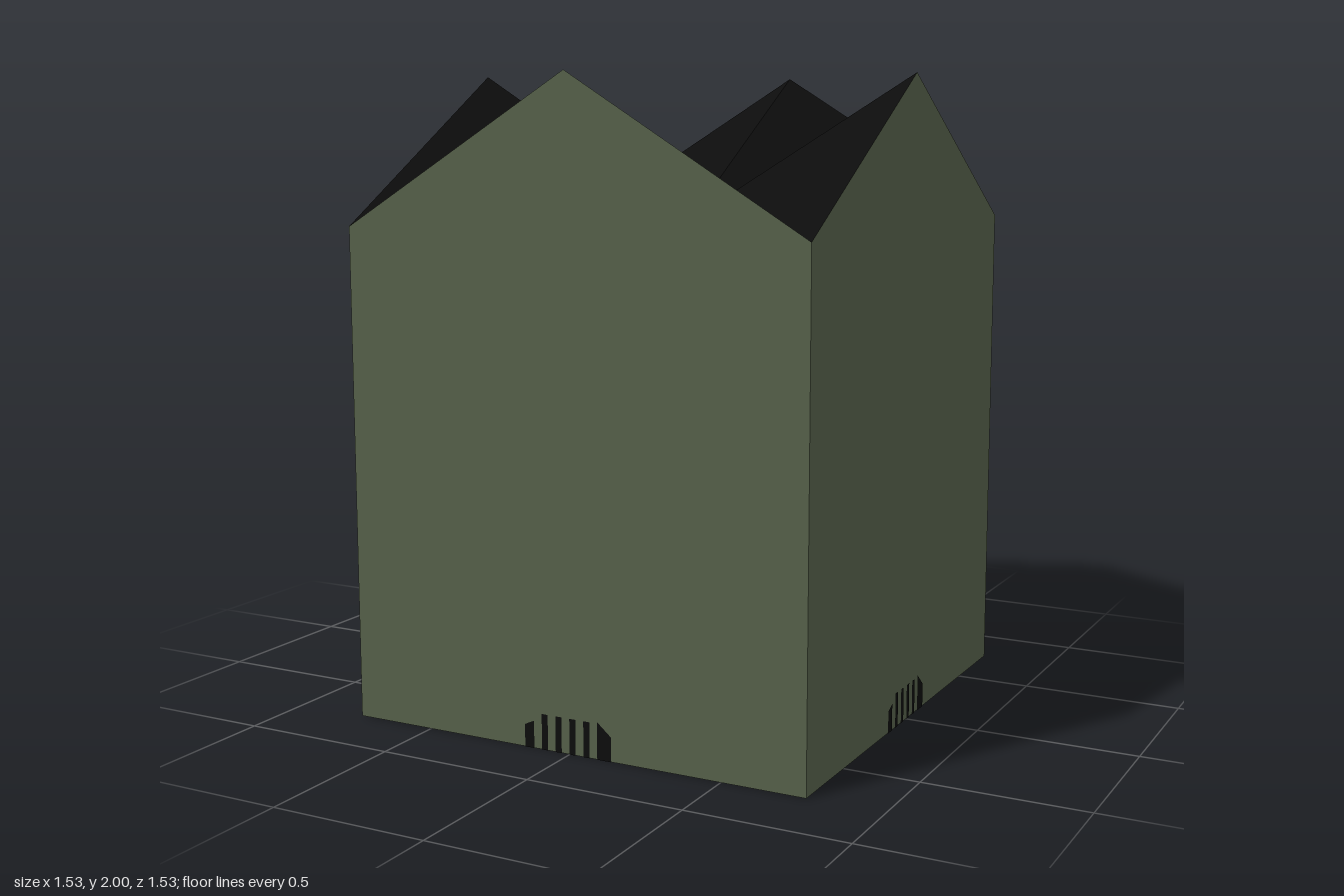
import * as THREE from 'three';

export function createModel() {
  const green = new THREE.MeshStandardMaterial({ color: 0x556049 });
  green.name = 'mossGreen';
  const black = new THREE.MeshStandardMaterial({ color: 0x0c0c0c });
  black.name = 'black';

  const half = 0.765, eave = 1.54, peak = 2;
  const model = new THREE.Group();
  model.name = 'gabledTower';

  function add(parent, name, geometry, material) {
    const mesh = new THREE.Mesh(geometry, material);
    mesh.name = name;
    parent.add(mesh);
    return mesh;
  }

  // Gabled wall outline
  const wallShape = new THREE.Shape([
    [-half, 0], [half, 0], [half, eave], [0, peak], [-half, eave],
  ].map(([x, y]) => new THREE.Vector2(x, y)));
  const wallGeometry = new THREE.ShapeGeometry(wallShape);

  // Two roof slopes falling from a gable peak to the low centre and corner valleys
  const roofGeometry = new THREE.BufferGeometry();
  roofGeometry.setAttribute('position', new THREE.Float32BufferAttribute([
    0, eave, 0, 0, peak, half, half, eave, half,
    0, eave, 0, -half, eave, half, 0, peak, half,
  ], 3));
  roofGeometry.computeVertexNormals();

  // Slots of the low vent: left edge, right edge, height at each edge
  const slots = [
    [-0.155, -0.123, 0.07, 0.085], [-0.096, -0.075, 0.11, 0.11],
    [-0.048, -0.027, 0.11, 0.11], [0, 0.021, 0.11, 0.11],
    [0.048, 0.069, 0.11, 0.11], [0.095, 0.142, 0.115, 0.075],
  ];

  // The same side repeated four times around the centre
  ['front', 'left', 'back', 'right'].forEach((side, i) => {
    const group = new THREE.Group();
    group.name = side + 'Side';
    group.rotation.y = i * Math.PI / 2;
    add(group, side + 'Wall', wallGeometry, green).position.z = half;
    add(group, side + 'Roof', roofGeometry, black);
    for (const [x0, x1, y0, y1] of slots) {
      const shape = new THREE.Shape([
        new THREE.Vector2(x0, 0), new THREE.Vector2(x1, 0),
        new THREE.Vector2(x1, y1), new THREE.Vector2(x0, y0),
      ]);
      add(group, side + 'VentSlot', new THREE.ShapeGeometry(shape), black).position.z = half + 0.002;
    }
    model.add(group);
  });

  // Underside
  const floor = add(model, 'floor', new THREE.PlaneGeometry(2 * half, 2 * half), black);
  floor.rotation.x = Math.PI / 2;

  return model;
}
